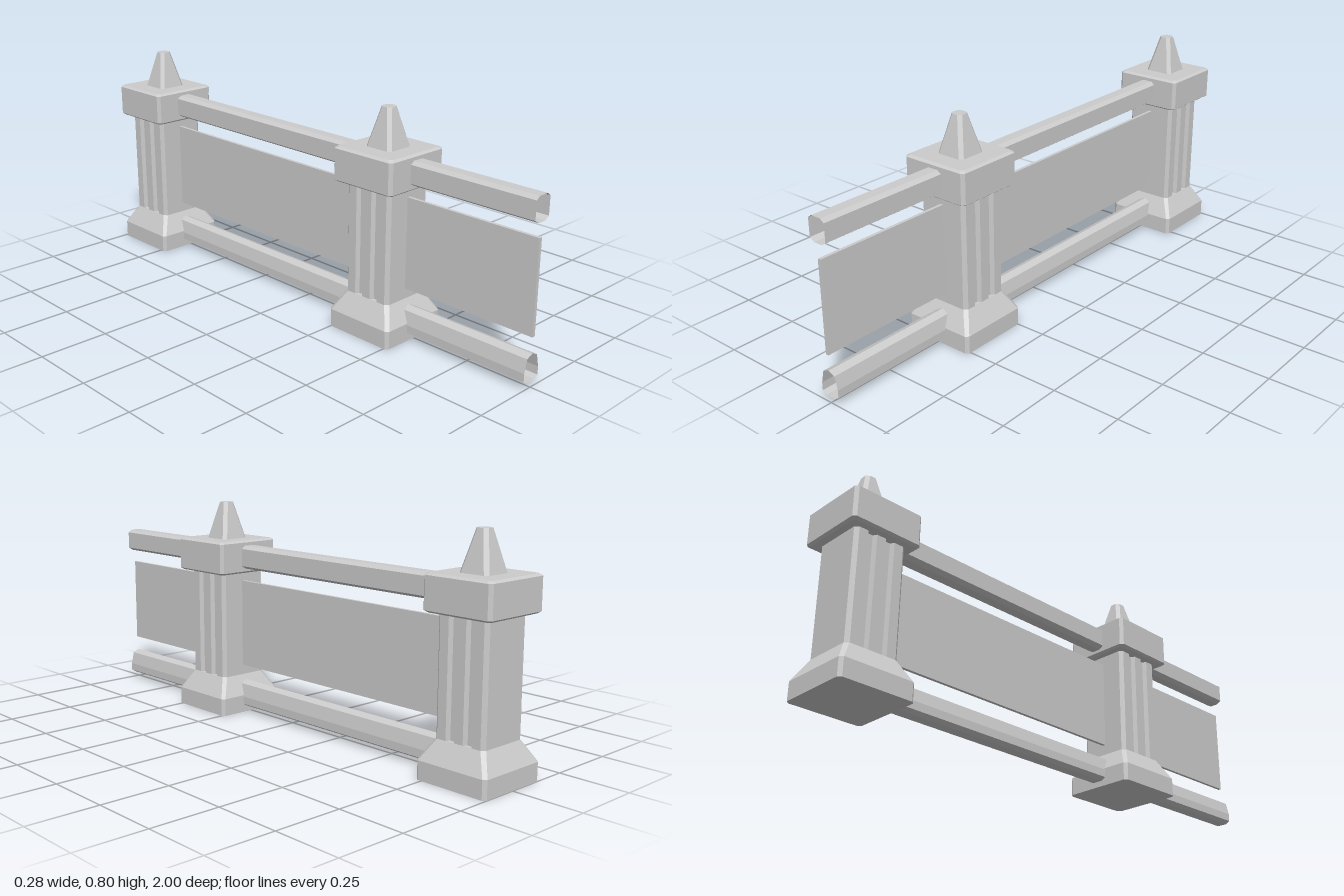
import * as THREE from 'three';

const grey = new THREE.MeshStandardMaterial({ color: 0xcccccc, flatShading: true });
const greyOpen = new THREE.MeshStandardMaterial({ color: 0xcccccc, flatShading: true, side: THREE.DoubleSide });

// Skin a stack of equal-length rings, optionally closing both ends.
function loft(rings, closed) {
  const pos = [];
  const tri = (a, b, c) => pos.push(...a, ...b, ...c);
  const n = rings[0].length;
  for (let i = 0; i < rings.length - 1; i++) {
    for (let j = 0; j < n; j++) {
      const k = (j + 1) % n;
      const [a, b, c, d] = [rings[i][j], rings[i][k], rings[i + 1][k], rings[i + 1][j]];
      tri(a, d, b);
      tri(b, d, c);
    }
  }
  if (closed) {
    const lo = rings[0], hi = rings[rings.length - 1];
    for (let j = 1; j < n - 1; j++) {
      tri(lo[0], lo[j], lo[j + 1]);
      tri(hi[0], hi[j + 1], hi[j]);
    }
  }
  const g = new THREE.BufferGeometry();
  g.setAttribute('position', new THREE.Float32BufferAttribute(pos, 3));
  g.computeVertexNormals();
  return g;
}

// Square ring with chamfered corners: half width h, chamfer c, height y.
function square(y, h, c) {
  const k = h - c;
  return [[h, -k], [h, k], [k, h], [-k, h], [-h, k], [-h, -k], [-k, -h], [k, -h]]
    .map(([x, z]) => [x, y, z]);
}

const block = (...levels) => loft(levels.map(l => square(...l)), true);

function part(name, geometry, material = grey) {
  const m = new THREE.Mesh(geometry, material);
  m.name = name;
  return m;
}

// Shaft with two vertical flutes on each of its x sides.
function shaftGeometry(y0, y1) {
  const h = 0.0975, k = 0.085, depth = 0.014;
  const side = [[h, -k]];
  for (const c of [-0.034, 0.034]) {
    side.push([h, c - 0.017], [h - depth, c - 0.009], [h - depth, c + 0.009], [h, c + 0.017]);
  }
  side.push([h, k], [k, h]);
  const outline = [...side, ...side.map(([x, z]) => [-x, -z])];
  // the half-turn copy needs its own leading chamfer corners
  outline.splice(side.length, 0, [-k, h]);
  outline.push([k, -h]);
  const fixed = outline.filter(([x, z], i) => outline.findIndex(p => p[0] === x && p[1] === z) === i);
  const ordered = [...fixed.slice(0, side.length), [-k, h],
    ...side.slice(0, -1).map(([x, z]) => [-x, -z]), [-k, -h], [k, -h]];
  const shape = new THREE.Shape(ordered.map(([x, z]) => new THREE.Vector2(x, -z)));
  const g = new THREE.ExtrudeGeometry(shape, { depth: y1 - y0, bevelEnabled: false });
  return g.rotateX(-Math.PI / 2).translate(0, y0, 0);
}

function post() {
  const g = new THREE.Group();
  g.name = 'post';
  g.add(
    part('postBase', block([0, 0.138, 0.011], [0.065, 0.138, 0.011], [0.137, 0.0975, 0.0125])),
    part('flutedShaft', shaftGeometry(0.13, 0.55)),
    part('postCap', block([0.538, 0.122, 0.011], [0.545, 0.132, 0.011], [0.655, 0.132, 0.011], [0.662, 0.122, 0.011])),
    part('spire', block([0.655, 0.058, 0.012], [0.8, 0.023, 0.012])),
  );
  return g;
}

// Hollow rail along z from a half profile running bottom to top on the +x side.
function rail(name, half, zBack) {
  const profile = [...half, ...half.filter(p => p[0] > 0).reverse().map(([x, y]) => [-x, y])];
  return part(name, loft([1, zBack].map(z => profile.map(([x, y]) => [x, y, z])), false), greyOpen);
}

export function createModel() {
  const model = new THREE.Group();
  model.name = 'fence';

  for (const z of [0.378, -0.862]) {
    const p = post();
    p.position.z = z;
    model.add(p);
  }

  model.add(
    rail('topRail', [[0.017, 0.556], [0.035, 0.567], [0.035, 0.632], [0.02, 0.643]], -0.8),
    rail('bottomRail', [[0.02, 0.021], [0.037, 0.031], [0.037, 0.06], [0.026, 0.107], [0, 0.118]], -0.8),
  );

  // Thin infill panel between the rails
  const panel = part('panel', new THREE.BoxGeometry(0.012, 0.33, 1.82));
  panel.position.set(0, 0.34, 0.09);
  model.add(panel);

  return model;
}
